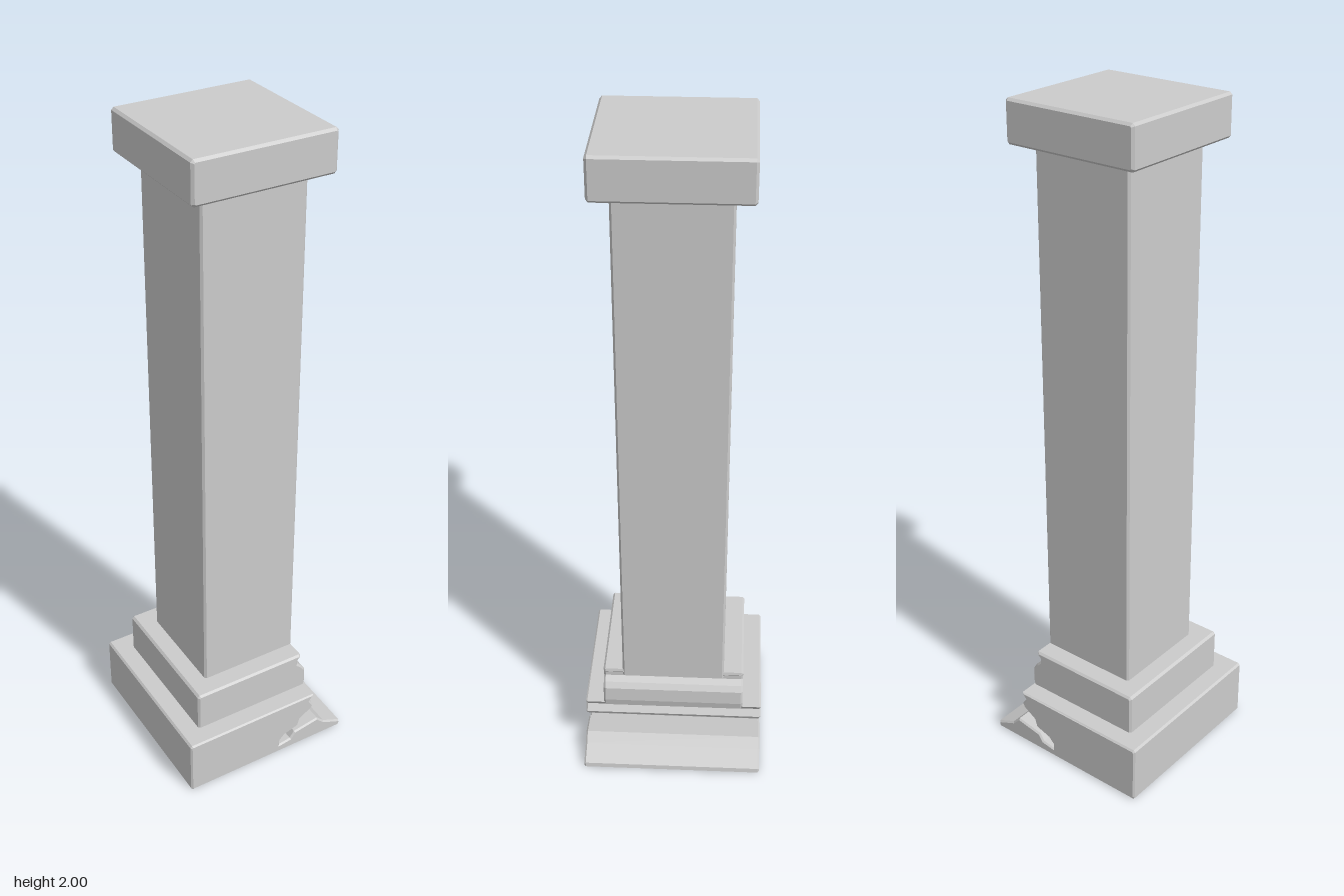
import * as THREE from 'three';

const material = new THREE.MeshStandardMaterial({ color: 0xcccccc, flatShading: true });

// Side outline extruded along z, centred, with a small chamfer on its edges
function slab(name, outline, depth, bevel) {
  const shape = new THREE.Shape(outline.map(([x, y]) => new THREE.Vector2(x, y)));
  const geometry = new THREE.ExtrudeGeometry(shape, {
    depth: depth - 2 * bevel,
    bevelEnabled: true,
    bevelSegments: 1,
    bevelSize: bevel,
    bevelThickness: bevel,
    bevelOffset: -bevel,
  });
  geometry.translate(0, 0, bevel - depth / 2);
  const mesh = new THREE.Mesh(geometry, material);
  mesh.name = name;
  return mesh;
}

// Square block with every edge chamfered
function block(name, half, y0, y1, c) {
  return slab(name, [
    [-half + c, y0], [half - c, y0], [half, y0 + c], [half, y1 - c],
    [half - c, y1], [-half + c, y1], [-half, y1 - c], [-half, y0 + c],
  ], half * 2, c);
}

// Square shaft whose upright corners are chamfered
function squareShaft(half, y0, y1, c) {
  const h = half, k = half - c;
  const shape = new THREE.Shape([
    [-k, -h], [k, -h], [h, -k], [h, k], [k, h], [-k, h], [-h, k], [-h, -k],
  ].map(([x, y]) => new THREE.Vector2(x, y)));
  const geometry = new THREE.ExtrudeGeometry(shape, { depth: y1 - y0, bevelEnabled: false });
  geometry.rotateX(-Math.PI / 2);
  geometry.translate(0, y0, 0);
  const mesh = new THREE.Mesh(geometry, material);
  mesh.name = 'shaft';
  return mesh;
}

export function createModel() {
  const group = new THREE.Group();
  group.name = 'brokenPillar';

  group.add(block('capital', 0.208, 1.88, 2, 0.007));
  group.add(block('neckRing', 0.163, 1.865, 1.885, 0.005));
  group.add(squareShaft(0.156, 0.29, 1.87, 0.006));

  // Upper plinth, its +x side broken away
  group.add(slab('upperPlinth', [
    [-0.214, 0.175], [0.168, 0.175], [0.173, 0.2], [0.17, 0.245], [0.158, 0.262],
    [0.143, 0.277], [0.143, 0.29], [0.154, 0.302], [0.152, 0.312],
    [-0.207, 0.312], [-0.214, 0.305],
  ], 0.432, 0.006));

  // Lower plinth, cracked on the +x side with a fallen ledge at the foot
  group.add(slab('lowerPlinth', [
    [-0.268, 0], [0.268, 0], [0.274, 0.006], [0.272, 0.02], [0.212, 0.046],
    [0.186, 0.072], [0.1, 0.056], [0.085, 0.034], [0.045, 0.027],
    [0.046, 0.046], [0.062, 0.062], [0.112, 0.078], [0.12, 0.104],
    [0.162, 0.13], [0.168, 0.142], [0.154, 0.163], [0.168, 0.184],
    [-0.268, 0.184], [-0.274, 0.178], [-0.274, 0.006],
  ], 0.548, 0.005));

  return group;
}
